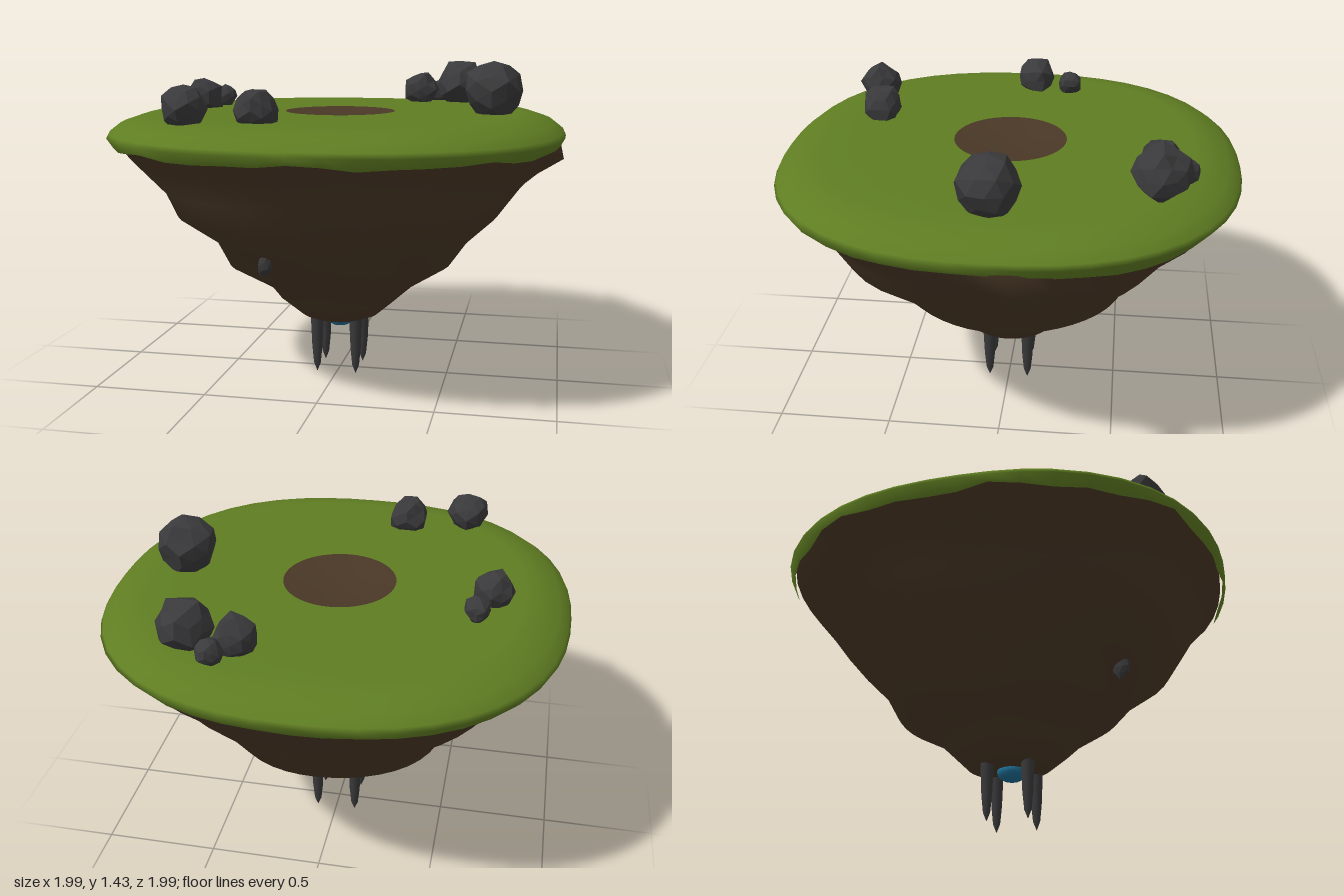
import * as THREE from 'three';

const material = (name, color, double = false) => {
  const m = new THREE.MeshStandardMaterial({ color });
  m.name = name;
  if (double) m.side = THREE.DoubleSide;
  return m;
};

const SEGMENTS = 48;

// Skin a closed surface over rings; each ring is a function angle -> [radius, y, squareness].
function skin(rings) {
  const pos = [], index = [];
  rings.forEach((ring, i) => {
    for (let j = 0; j < SEGMENTS; j++) {
      const t = (j / SEGMENTS) * Math.PI * 2, c = Math.cos(t), s = Math.sin(t);
      const [r, y, n] = ring(t);
      const f = r * Math.pow(Math.abs(c) ** n + Math.abs(s) ** n, -1 / n);
      pos.push(c * f, y, s * f);
      if (i === rings.length - 1) continue;
      const k = (j + 1) % SEGMENTS, a = i * SEGMENTS, b = a + SEGMENTS;
      index.push(a + j, a + k, b + j, a + k, b + k, b + j);
    }
  });
  const g = new THREE.BufferGeometry();
  g.setAttribute('position', new THREE.Float32BufferAttribute(pos, 3));
  g.setIndex(index);
  g.computeVertexNormals();
  return g;
}

// Smooth bump around one angle
const bump = (t, centre, width) => {
  const d = Math.atan2(Math.sin(t - centre), Math.cos(t - centre)) / width;
  return Math.exp(-d * d);
};

// Faceted boulder: an icosphere with its corners pushed in and out
function boulder(radius, seed) {
  const g = new THREE.IcosahedronGeometry(radius, 1);
  const p = g.attributes.position, v = new THREE.Vector3();
  for (let i = 0; i < p.count; i++) {
    v.fromBufferAttribute(p, i);
    const u = v.clone().divideScalar(radius);
    const k = 0.98 + 0.1 * Math.sin(u.x * 5 + seed * 2.1) * Math.cos(u.y * 4 + seed) + 0.07 * Math.sin(u.z * 6 + seed * 3.7);
    v.multiplyScalar(k);
    p.setXYZ(i, v.x, v.y, v.z);
  }
  const flat = g.index ? g.toNonIndexed() : g;
  flat.computeVertexNormals();
  return flat;
}

export function createModel() {
  const group = new THREE.Group();
  const grass = material('grass', 0x5f7d22);
  const dirt = material('dirt', 0x4a3826, true);
  const stone = material('stone', 0x3a3a3c);
  const blue = material('blue crystal', 0x1f7099);
  const add = (name, geometry, mat, x = 0, y = 0, z = 0) => {
    const mesh = new THREE.Mesh(geometry, mat);
    mesh.name = name;
    mesh.position.set(x, y, z);
    group.add(mesh);
    return mesh;
  };

  // Grass cap: flat ring, rounded rim and a ragged skirt that hangs lower at one corner
  const cap = [
    [0.245, 1.2, 2], [0.55, 1.2, 2.15], [0.8, 1.2, 2.3], [0.86, 1.192, 2.36],
    [0.94, 1.165, 2.36], [0.985, 1.13, 2.36], [0.995, 1.11, 2.36],
  ].map((r) => () => r);
  cap.push((t) => {
    const y = 1.07 + 0.008 * Math.sin(t * 9) + 0.006 * Math.sin(t * 17 + 1) - 0.05 * bump(t, -0.7, 0.35);
    return [1.01 - (1.11 - y), y, 2.36];
  });
  add('grassCap', skin(cap), grass);

  // Bare earth hollow in the middle
  add('earthHollow', skin([[0.0001, 1.182, 2], [0.13, 1.185, 2], [0.247, 1.2, 2]].map((r) => () => r)), dirt);

  // Rocky underside: y, squareness, then radii toward +x, +z, -x, -z
  const layers = [
    [1.1, 2.36, 0.97, 0.97, 0.97, 0.97],
    [0.99, 2.36, 0.89, 0.88, 0.87, 0.88],
    [0.88, 2.3, 0.81, 0.8, 0.75, 0.8],
    [0.76, 2.25, 0.72, 0.74, 0.73, 0.7],
    [0.64, 2.2, 0.59, 0.6, 0.55, 0.58],
    [0.52, 2.15, 0.51, 0.48, 0.5, 0.52],
    [0.42, 2.1, 0.35, 0.33, 0.33, 0.35],
    [0.35, 2, 0.27, 0.28, 0.28, 0.28],
    [0.27, 2, 0.18, 0.18, 0.18, 0.2],
    [0.25, 2, 0.13, 0.13, 0.13, 0.13],
    [0.25, 2, 0.0001, 0.0001, 0.0001, 0.0001],
  ];
  const underside = layers.map(([y, n, px, pz, nx, nz], i) => (t) => {
    const c = Math.cos(t), s = Math.sin(t);
    let r = (c > 0 ? px : nx) * c * c + (s > 0 ? pz : nz) * s * s;
    if (i > 0 && i < 8) r *= 1 + 0.018 * Math.sin(2 * t) * Math.sin(3 * t + i * 1.9);
    if (i === 1) r += 0.11 * bump(t, -0.14, 0.16); // jutting ledge
    return [r, y, n];
  });
  add('earthUnderside', skin(underside), dirt);

  // Boulders: x, z, radius, centre height
  [
    [0.68, 0.01, 0.13, 1.3], [0.485, -0.64, 0.115, 1.29], [0.28, -0.64, 0.087, 1.26], [0.36, -0.74, 0.058, 1.24],
    [-0.61, -0.22, 0.056, 1.24], [-0.66, -0.06, 0.088, 1.25], [-0.49, 0.68, 0.092, 1.255], [-0.215, 0.61, 0.09, 1.25],
  ].forEach(([x, z, r, y], i) => add('boulder', boulder(r, i + 1), stone, x, y, z));

  // Dark stone embedded in the front slope
  const embedded = add('embeddedStone', boulder(0.06, 4), stone, -0.2, 0.62, 0.52);
  embedded.scale.set(0.6, 1.3, 0.7);
  embedded.rotation.z = -0.35;

  // Four hanging stone spikes
  const spike = new THREE.LatheGeometry(
    [[0, 0.01], [0.016, 0.05], [0.024, 0.13], [0.031, 0.29]].map(([x, y]) => new THREE.Vector2(x, y)), 8);
  for (const x of [-0.09, 0.09]) for (const z of [-0.09, 0.09]) add('hangingSpike', spike, stone, x, -0.01, z);

  // Blue crystal under the island
  add('crystal', new THREE.SphereGeometry(0.066, 16, 10), blue, 0, 0.242, 0).scale.y = 0.62;

  return group;
}
